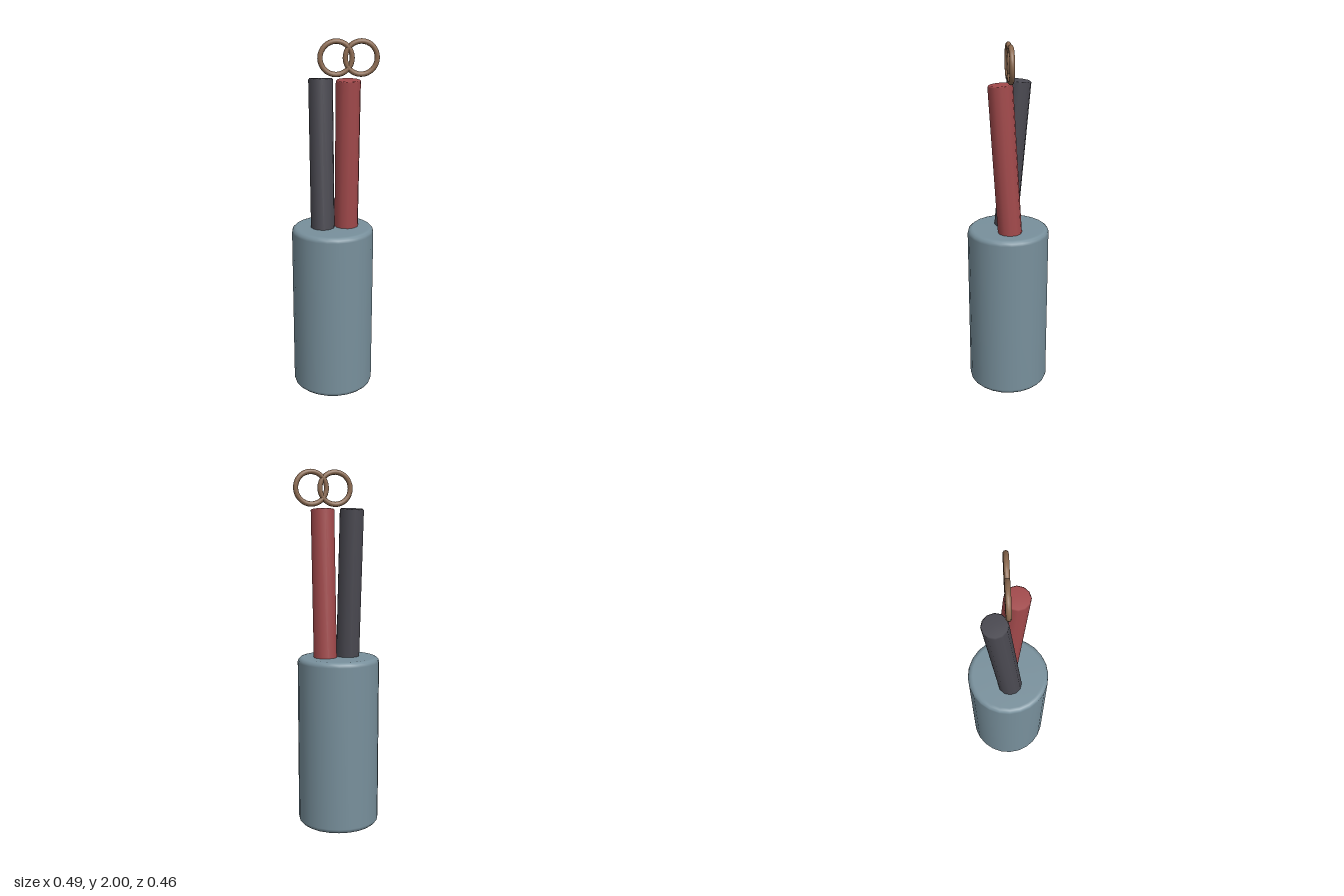
import * as THREE from 'three';

const mat = (name, color) => {
  const m = new THREE.MeshStandardMaterial({ color });
  m.name = name;
  return m;
};

// Upright cylinder with rounded rims, standing on y = 0
function roundedCylinder(radius, height, bevel, steps, sides) {
  const pts = [new THREE.Vector2(0, 0)];
  for (const top of [0, 1]) {
    for (let i = 0; i <= steps; i++) {
      const a = (top ? i / steps : i / steps - 1) * Math.PI / 2;
      const cy = top ? height - bevel : bevel;
      pts.push(new THREE.Vector2(radius - bevel + bevel * Math.cos(a), cy + bevel * Math.sin(a)));
    }
  }
  pts.push(new THREE.Vector2(0, height));
  return new THREE.LatheGeometry(pts, sides);
}

export function createModel() {
  const group = new THREE.Group();
  const add = (name, geometry, material, x, y, z) => {
    const mesh = new THREE.Mesh(geometry, material);
    mesh.name = name;
    mesh.position.set(x, y, z);
    group.add(mesh);
    return mesh;
  };

  // Main body
  add('body', roundedCylinder(0.231, 0.97, 0.028, 3, 24), mat('blue grey', 0x78909c), -0.014, 0, 0);

  // Two leads leaning apart, one forwards and one backwards
  const leads = [
    ['redLead', mat('red', 0xa34a4c), 0.064, -0.005, 0.048],
    ['blackLead', mat('charcoal', 0x4b4a52), -0.071, 0.01, -0.064],
  ];
  const y0 = 0.94, y1 = 1.79;
  for (const [name, material, x, z0, z1] of leads) {
    const length = Math.hypot(y1 - y0, z1 - z0);
    const lead = add(name, roundedCylinder(0.067, length, 0.006, 1, 12), material, x, y0, z0);
    lead.rotation.x = Math.atan2(z1 - z0, y1 - y0);
  }

  // Pair of overlapping wire rings
  const copper = mat('copper', 0x8c6a50);
  const ring = new THREE.TorusGeometry(0.086, 0.014, 10, 32);
  add('leftRing', ring, copper, 0.14, 1.9, 0);
  add('rightRing', ring, copper, 0.005, 1.9, 0);

  return group;
}
